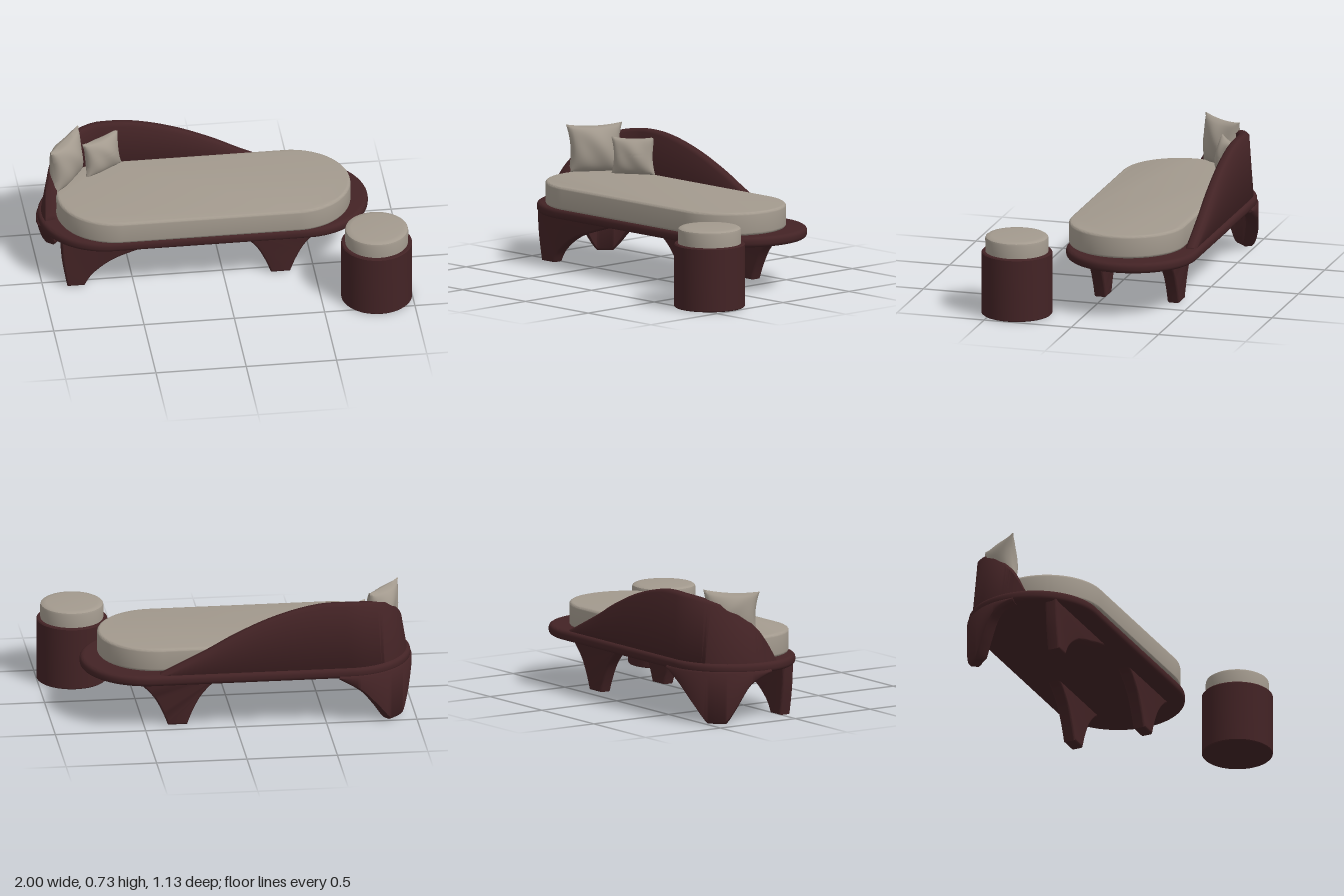
import * as THREE from 'three';
import { toCreasedNormals } from 'three/addons/utils/BufferGeometryUtils.js';

// Platform outline: two half circles joined by straight sides
const LEFT_X = -0.63, RIGHT_X = 0.46, MID_Z = -0.19, RADIUS = 0.367;

const wood = new THREE.MeshStandardMaterial({ color: 0x432325 });
wood.name = 'dark wood';
const fabric = new THREE.MeshStandardMaterial({ color: 0xa39a8e });
fabric.name = 'grey fabric';

function addMesh(group, name, geometry, material) {
  const mesh = new THREE.Mesh(geometry, material);
  mesh.name = name;
  group.add(mesh);
  return mesh;
}

function extrude(shape, depth, bevel) {
  const g = new THREE.ExtrudeGeometry(shape, {
    depth: depth - 2 * bevel, bevelEnabled: true, bevelThickness: bevel,
    bevelSize: bevel, bevelOffset: -bevel, bevelSegments: 4, curveSegments: 32,
  });
  g.translate(0, 0, bevel);
  return toCreasedNormals(g, 0.6);
}

// Horizontal slab with round ends, standing from y0 to y1
function stadiumSlab(x0, x1, z, r, y0, y1, bevel) {
  const s = new THREE.Shape();
  s.moveTo(x0, -z - r);
  s.lineTo(x1, -z - r);
  s.absarc(x1, -z, r, -Math.PI / 2, Math.PI / 2, false);
  s.lineTo(x0, -z + r);
  s.absarc(x0, -z, r, Math.PI / 2, Math.PI * 1.5, false);
  return extrude(s, y1 - y0, bevel).rotateX(-Math.PI / 2).translate(0, y0, 0);
}

// Wall that follows the left end and the back of the platform.
// Stations are { s, low, high }; s is x on the straight back and arc length round the end.
function curvedWall(stations, inner, outer, lean, bevel) {
  const pos = [], index = [], n = 8;
  for (const { s, low, high } of stations) {
    const b = Math.min(bevel, (high - low) * 0.45);
    const ring = [[inner, low + b], [inner, high - b], [inner + b, high], [outer - b, high],
      [outer, high - b], [outer, low + b], [outer - b, low], [inner + b, low]];
    const a = Math.max(0, (LEFT_X - s) / RADIUS);
    for (const [r, y] of ring) {
      const rr = r - lean * (0.3 + Math.sin(Math.min(a, 1.57))) * Math.max(0, y - 0.33);
      pos.push(Math.max(s, LEFT_X) - rr * Math.sin(a), y, MID_Z - rr * Math.cos(a));
    }
  }
  const last = (stations.length - 1) * n;
  for (let i = 0; i < last; i += n) {
    for (let j = 0; j < n; j++) {
      const k = (j + 1) % n;
      index.push(i + j, i + n + j, i + n + k, i + j, i + n + k, i + k);
    }
  }
  for (let k = 1; k < n - 1; k++) {
    index.push(0, k, k + 1, last, last + k + 1, last + k);
  }
  const g = new THREE.BufferGeometry();
  g.setAttribute('position', new THREE.Float32BufferAttribute(pos, 3));
  g.setIndex(index);
  return toCreasedNormals(g, 0.9);
}

const spline = (pts) => new THREE.SplineCurve(pts.map(([x, y]) => new THREE.Vector2(x, y)));

// Flat leg whose edges sweep up into the platform
function plateLeg(leftEdge, rightEdge) {
  const points = [...spline(leftEdge).getPoints(20), ...spline(rightEdge).getPoints(20)];
  return extrude(new THREE.Shape(points), 0.07, 0.012);
}

// Square cushion with pinched sides, thin rim and pulled corners
function pillow(width, height, thickness) {
  const g = new THREE.BoxGeometry(2, 2, 2, 20, 20, 1);
  const p = g.attributes.position;
  for (let i = 0; i < p.count; i++) {
    const u = p.getX(i), v = p.getY(i), side = Math.sign(p.getZ(i));
    const puff = Math.pow(Math.max(0, (1 - u * u) * (1 - v * v)), 0.55);
    const fold = 1 + 0.08 * Math.sin(5 * u + 3 * v);
    p.setXYZ(i,
      u * width / 2 * (1 - 0.13 * (1 - v * v)),
      v * height / 2 * (1 - 0.1 * (1 - u * u) * (v > 0 ? 1 : 0.3)),
      side * (0.003 + thickness / 2 * puff * fold));
  }
  return toCreasedNormals(g, 1.0);
}

function lathe(points) {
  const g = new THREE.LatheGeometry(points.map(([r, y]) => new THREE.Vector2(r, y)), 48);
  return toCreasedNormals(g, 0.6);
}

export function createModel() {
  const model = new THREE.Group();
  model.name = 'daybedWithStool';

  // Platform and mattress
  const daybed = new THREE.Group();
  daybed.name = 'daybed';
  model.add(daybed);
  addMesh(daybed, 'platform',
    stadiumSlab(LEFT_X, RIGHT_X, MID_Z, RADIUS, 0.275, 0.332, 0.022), wood);
  addMesh(daybed, 'mattress',
    stadiumSlab(-0.575, 0.4, -0.145, 0.325, 0.33, 0.46, 0.016), fabric);

  // Backrest: a hump that runs down along the back and round the left end
  const crest = spline([[-1.3, 0.35], [-1.2, 0.5], [-1.02, 0.62], [-0.8, 0.68], [-0.57, 0.7],
    [-0.4, 0.685], [-0.2, 0.63], [0, 0.545], [0.17, 0.455], [0.42, 0.335]]);
  addMesh(daybed, 'backrest', curvedWall(
    crest.getPoints(90).map((q) => ({ s: q.x, low: 0.31, high: q.y })),
    0.285, 0.348, 0.13, 0.016), wood);

  // Corner leg bent round the back of the left end (angle in degrees, lower edge)
  const hem = [[95, 0.272], [82, 0.24], [73, 0.195], [62, 0.08], [53, 0], [45, 0], [37, 0],
    [23, 0.1], [8, 0.2], [-10, 0.272]];
  const hemStations = spline(hem).getPoints(72).map((q) => ({
    s: LEFT_X - RADIUS * q.x * Math.PI / 180, low: Math.max(0, q.y), high: 0.295,
  }));
  addMesh(daybed, 'backLeftLeg', curvedWall(hemStations, 0.305, 0.375, 0, 0.014), wood);

  // Flat legs
  const leftLeg = plateLeg([[-0.9, 0.29], [-0.89, 0.15], [-0.865, 0]],
    [[-0.77, 0], [-0.72, 0.075], [-0.6, 0.16], [-0.4, 0.228], [-0.19, 0.29]]);
  const rightLeg = plateLeg([[0.02, 0.29], [0.1, 0.25], [0.18, 0.17], [0.23, 0.08], [0.262, 0]],
    [[0.368, 0], [0.4, 0.08], [0.45, 0.17], [0.53, 0.25], [0.61, 0.29]]);
  addMesh(daybed, 'frontLeftLeg', leftLeg, wood).position.z = -0.01;
  addMesh(daybed, 'frontRightLeg', rightLeg, wood).position.z = -0.01;
  addMesh(daybed, 'backRightLeg', rightLeg, wood).position.z = -0.43;

  // Pillows leaning in the rounded corner
  const large = addMesh(daybed, 'largePillow', pillow(0.31, 0.27, 0.14), fabric);
  large.position.set(-0.825, 0.588, -0.31);
  large.rotation.set(-0.08, 0.93, 0.03, 'YXZ');
  const small = addMesh(daybed, 'smallPillow', pillow(0.25, 0.21, 0.11), fabric);
  small.position.set(-0.615, 0.558, -0.4);
  small.rotation.set(-0.12, 0.55, 0.03, 'YXZ');

  // Round stool with a padded top
  const stool = new THREE.Group();
  stool.name = 'stool';
  stool.position.set(0.805, 0, 0.371);
  model.add(stool);
  addMesh(stool, 'stoolBase', lathe([[0, 0], [0.19, 0], [0.195, 0.005], [0.195, 0.348],
    [0.19, 0.354], [0, 0.354]]), wood);
  addMesh(stool, 'stoolCushion', lathe([[0.173, 0.35], [0.174, 0.425], [0.171, 0.436],
    [0.162, 0.442], [0.14, 0.444], [0, 0.445]]), fabric);

  return model;
}
